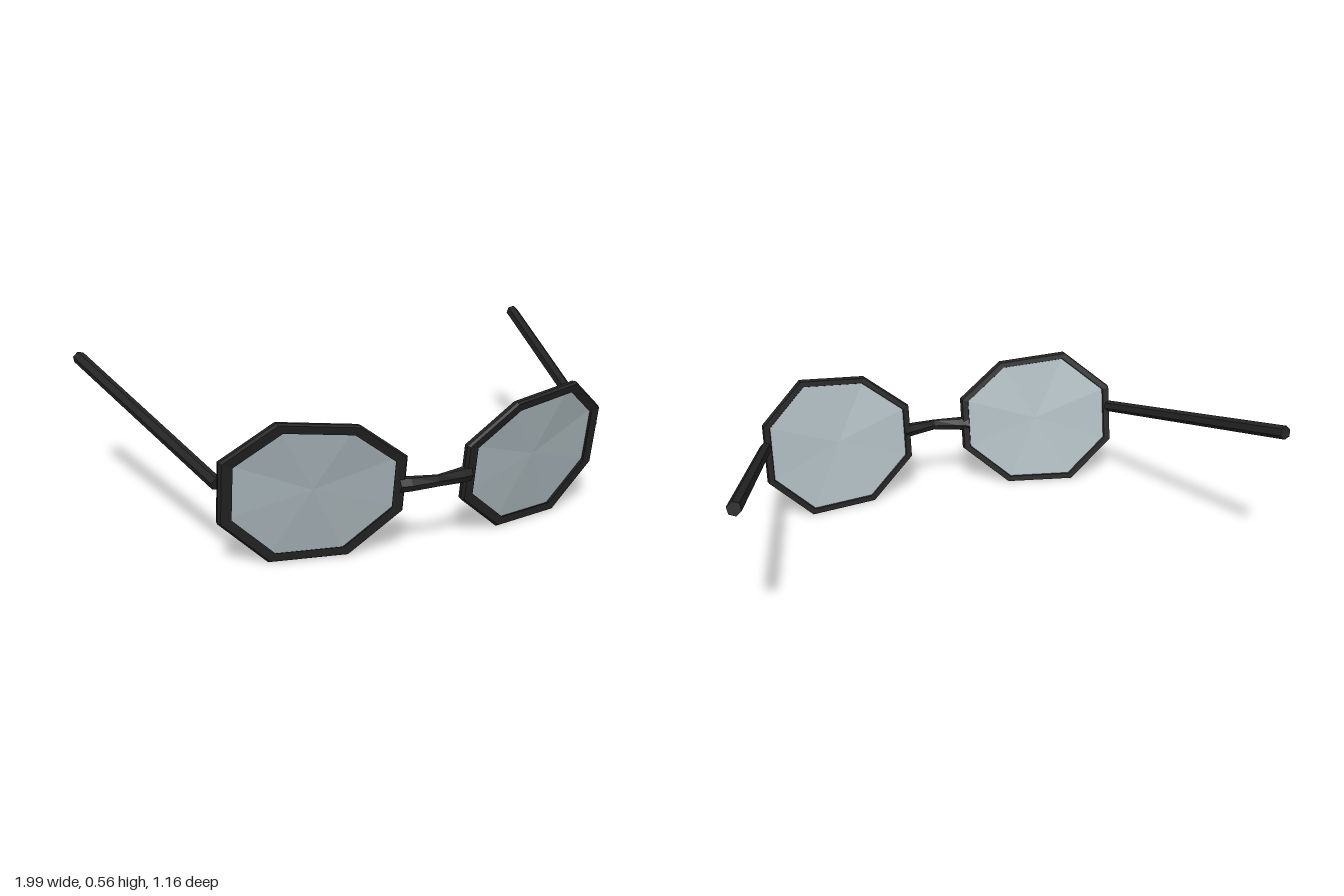
import * as THREE from 'three';

const frameMat = new THREE.MeshStandardMaterial({ color: 0x242424 });
frameMat.name = 'black frame';
frameMat.flatShading = true;
const lensMat = new THREE.MeshStandardMaterial({ color: 0xaebbc0 });
lensMat.name = 'grey glass';
lensMat.flatShading = true;
lensMat.side = THREE.DoubleSide;

// Octagonal rim corners: x, y and z of the back edge (left side)
const RIM = [
  [0.115, 0.37, 0.525], [0.297, 0.51, 0.545], [0.57, 0.54, 0.497], [0.742, 0.4, 0.407],
  [0.742, 0.172, 0.368], [0.57, 0.004, 0.377], [0.297, 0.004, 0.431], [0.115, 0.16, 0.488],
];
const CENTRE = [0.43, 0.272, 0.457];

// Rim section: scale towards the lens centre, offset forward
const SECTION = [[1, 0.022], [0.975, 0.034], [0.86, 0.032], [0.915, 0], [0.99, 0]];

function flatGeometry(positions) {
  const g = new THREE.BufferGeometry();
  g.setAttribute('position', new THREE.Float32BufferAttribute(positions, 3));
  g.computeVertexNormals();
  return g;
}

// Skin a list of rings of equal point count
function loft(rings, closed, flip = false) {
  const out = [];
  const n = rings[0].length;
  const last = closed ? rings.length : rings.length - 1;
  for (let i = 0; i < last; i++) {
    const r0 = rings[i], r1 = rings[(i + 1) % rings.length];
    for (let j = 0; j < n; j++) {
      const k = (j + 1) % n;
      const quad = [r0[j], r0[k], r1[k], r1[j]];
      if (flip) quad.reverse();
      const [a, b, c, d] = quad;
      out.push(...a, ...b, ...c, ...a, ...c, ...d);
    }
  }
  return flatGeometry(out);
}

// Point of the rim scaled towards the lens centre
function rimPoint(corner, scale, forward, side) {
  const [x, y, z] = corner.map((v, i) => CENTRE[i] + (v - CENTRE[i]) * scale);
  return [x * side, y, z + forward];
}

function addMesh(group, name, geometry, material) {
  const mesh = new THREE.Mesh(geometry, material);
  mesh.name = name;
  group.add(mesh);
  return mesh;
}

export function createModel() {
  const model = new THREE.Group();
  model.name = 'glasses';

  for (const side of [1, -1]) {
    const label = side > 0 ? 'left' : 'right';

    // Rim
    const rings = RIM.map(c => SECTION.map(([s, f]) => rimPoint(c, s, f, side)));
    addMesh(model, label + 'Rim', loft(rings, true, side < 0), frameMat);

    // Lens: a fan of eight facets near the back of the rim
    const fan = [];
    const mid = [CENTRE[0] * side, CENTRE[1], CENTRE[2] + 0.014];
    RIM.forEach((c, i) => {
      const p = rimPoint(c, 0.915, 0.005, side);
      const q = rimPoint(RIM[(i + 1) % RIM.length], 0.915, 0.005, side);
      fan.push(...mid, ...(side > 0 ? q : p), ...(side > 0 ? p : q));
    });
    addMesh(model, label + 'Lens', flatGeometry(fan), lensMat);

    // Temple arm
    const start = new THREE.Vector3(0.738 * side, 0.316, 0.395);
    const end = new THREE.Vector3(0.974 * side, 0.537, -0.576);
    const along = end.clone().sub(start);
    const arm = addMesh(model, label + 'Temple',
      new THREE.CylinderGeometry(0.025, 0.023, along.length(), 6), frameMat);
    arm.position.copy(start).add(end).multiplyScalar(0.5);
    arm.quaternion.setFromUnitVectors(new THREE.Vector3(0, 1, 0), along.normalize());
  }

  // Bridge: x, y, z, half height, half depth
  const stations = [
    [-0.14, 0.262, 0.522, 0.027, 0.03], [-0.1, 0.262, 0.534, 0.025, 0.025],
    [0, 0.264, 0.551, 0.021, 0.012],
    [0.1, 0.262, 0.534, 0.025, 0.025], [0.14, 0.262, 0.522, 0.027, 0.03],
  ];
  const bridge = stations.map(([x, y, z, h, d]) => Array.from({ length: 6 }, (_, j) => {
    const a = (j + 0.5) / 6 * Math.PI * 2;
    return [x, y + Math.cos(a) * h * 1.1, z + Math.sin(a) * d];
  }));
  addMesh(model, 'bridge', loft(bridge, false), frameMat);

  return model;
}
